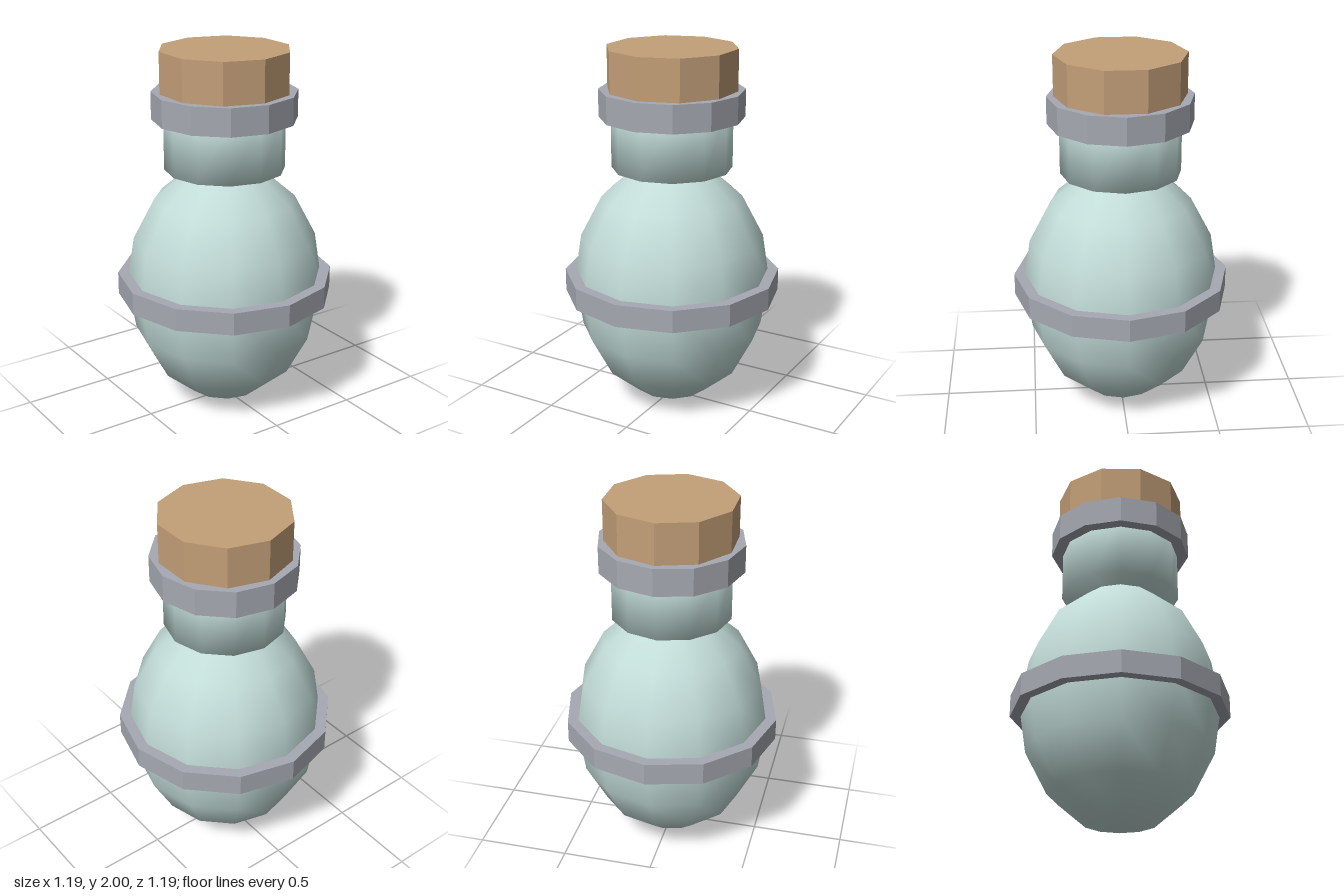
import * as THREE from 'three';
import { mergeVertices } from 'three/addons/utils/BufferGeometryUtils.js';

export function createModel() {
  const group = new THREE.Group();
  const material = (name, color, flatShading) => {
    const m = new THREE.MeshStandardMaterial({ color, flatShading });
    m.name = name;
    return m;
  };
  const glass = material('paleGlass', 0xc2dcd8, false);
  const metal = material('greyMetal', 0xa6a9b2, true);
  const cork = material('corkBrown', 0xc39f78, true);

  const add = (name, geometry, mat) => {
    const mesh = new THREE.Mesh(geometry, mat);
    mesh.name = name;
    group.add(mesh);
  };
  // Upright drum between two heights
  const drum = (radius, bottom, top, sides) =>
    new THREE.CylinderGeometry(radius, radius, top - bottom, sides)
      .translate(0, (bottom + top) / 2, 0);

  // Egg-shaped bulb
  add('bulb', new THREE.SphereGeometry(1, 12, 8)
    .scale(0.543, 0.692, 0.543).translate(0, 0.694, 0), glass);

  // Neck, shaded smoothly across its rims
  let neck = drum(0.327, 1.35, 1.7, 12);
  neck.deleteAttribute('normal');
  neck.deleteAttribute('uv');
  neck = mergeVertices(neck);
  neck.computeVertexNormals();
  add('neck', neck, glass);

  // Metal bands and stopper
  add('bodyBand', drum(0.593, 0.635, 0.758, 12), metal);
  add('neckCollar', drum(0.391, 1.627, 1.777, 12), metal);
  add('corkStopper', drum(0.353, 1.7, 2, 10), cork);

  return group;
}
